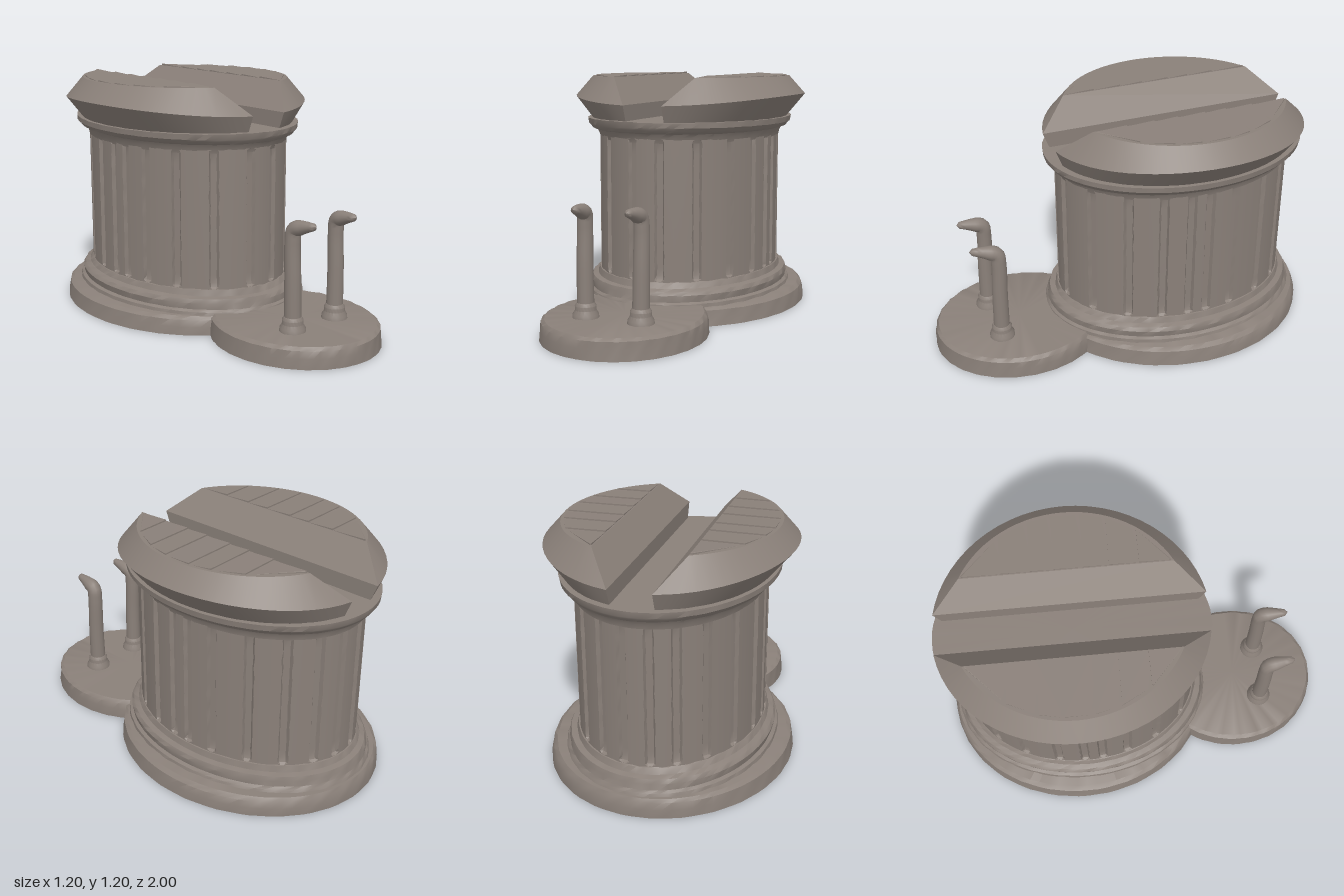
import * as THREE from 'three';
import { toCreasedNormals } from 'three/addons/utils/BufferGeometryUtils.js';
import { ConvexGeometry } from 'three/addons/geometries/ConvexGeometry.js';

const stone = new THREE.MeshStandardMaterial({ color: 0x8a8079 });
stone.name = 'weathered stone';

const V = (x, y, z) => new THREE.Vector3(x, y, z);
const CZ = -0.29; // centre of the oval building

function add(parent, geometry, name, crease = 0.6) {
  const mesh = new THREE.Mesh(toCreasedNormals(geometry, crease), stone);
  mesh.name = name;
  parent.add(mesh);
  return mesh;
}

// Small repeatable chip noise in -1..1
const chip = (i, j) => Math.sin(i * 12.9 + j * 7.31) * Math.cos(i * 3.7 - j * 5.13);

const plainColumns = Array.from({ length: 80 }, (_, i) => ({ a: (i / 80) * Math.PI * 2, half: 0, depth: 0 }));

// Stacks elliptical rings; each row is [rx, y, rz, groove strength]
function loft(rows, cz, columns = plainColumns, rough = 0) {
  const pos = [], index = [], n = columns.length;
  rows.forEach(([rx, y, rz, groove = 0], i) => columns.forEach((c, j) => {
    const a = c.a + c.half * (groove ? 1 + 0.15 * chip(i, j) : 0.5);
    const inset = c.depth * groove;
    const r = rx > 0 ? rough * chip(i, j) : 0;
    pos.push((rx - inset + r) * Math.sin(a), y + (y > 0 ? r : 0), cz + (rz - inset + r) * Math.cos(a));
  }));
  for (let i = 0; i < rows.length - 1; i++) {
    for (let j = 0; j < n; j++) {
      const k = (j + 1) % n, p = i * n, q = p + n;
      index.push(p + j, p + k, q + k, p + j, q + k, q + j);
    }
  }
  const g = new THREE.BufferGeometry();
  g.setAttribute('position', new THREE.Float32BufferAttribute(pos, 3));
  g.setIndex(index);
  return g;
}

// Columns around the drum: four per flute, with plain ones between
function fluteColumns() {
  const side = [9, 31.5, 52, 69, 82, 91, 104, 122, 140, 157, 172];
  const all = [...side, ...side.map((d) => 360 - d).reverse()].map((d) => (d * Math.PI) / 180);
  const columns = [];
  all.forEach((a, i) => {
    const half = 0.024 / Math.hypot(0.45 * Math.cos(a), 0.61 * Math.sin(a));
    [[-1, 0], [-0.65, 1], [0.65, 1], [1, 0]].forEach(([s, d]) =>
      columns.push({ a, half: s * half, depth: d * 0.018 }));
    const next = i + 1 < all.length ? all[i + 1] : all[0] + Math.PI * 2;
    const from = a + 0.055, to = next - 0.055;
    for (let k = 0; k < 4; k++) columns.push({ a: from + ((to - from) * k) / 3, half: 0, depth: 0 });
  });
  return columns;
}

// Half of the split roof on the +x side
function roofHalf(mirror) {
  const half = new THREE.Group();
  const topX = (z) => 0.51 * Math.sqrt(Math.max(0, 1 - ((z - CZ) / 0.55) ** 2));
  const arc = (rx, rz, xMin, y) => {
    const a0 = Math.asin(xMin / rx), pts = [];
    for (let i = 0; i <= 28; i++) {
      const a = a0 + ((Math.PI - 2 * a0) * i) / 28;
      pts.push(V(mirror * rx * Math.sin(a), y(a), CZ + rz * Math.cos(a)));
    }
    return pts;
  };
  add(half, new ConvexGeometry([
    ...arc(0.49, 0.63, 0.1, () => 0.975),
    ...arc(0.597, 0.66, 0.1, (a) => 1.06 + 0.042 * Math.sin(a) ** 2),
    ...arc(0.515, 0.555, 0.215, () => 1.192),
  ]), 'roofBlock', 0.35);

  // Rough-hewn facets along the flat top
  const cuts = [-0.78, -0.6, -0.46, -0.35, -0.21, -0.09, 0.05, 0.2];
  for (let i = 0; i < cuts.length - 1; i++) {
    const pts = [];
    [cuts[i], cuts[i + 1]].forEach((z, e) => {
      const x1 = Math.max(0.225, topX(z) - 0.01);
      [[0.22, 0], [x1, 0.002]].forEach(([x, drop]) => {
        pts.push(V(mirror * x, 1.185, z), V(mirror * x, 1.2 - drop - (e ? 0.007 : 0), z));
      });
    });
    add(half, new ConvexGeometry(pts), 'roofFacet', 0.1);
  }
  return half;
}

// Hooked post: flared foot, shaft and tapering spout
function hookedPost(s) {
  const post = new THREE.Group();
  const foot = [[0, 0.09], [0.064, 0.09], [0.062, 0.115], [0.05, 0.135], [0.051, 0.155], [0.042, 0.17], [0, 0.175]];
  add(post, new THREE.LatheGeometry(foot.map(([r, y]) => new THREE.Vector2(r, y)), 20), 'postFoot')
    .position.set(s * 0.14, 0, 0.69);

  const path = new THREE.CatmullRomCurve3([
    V(s * 0.14, 0.15, 0.69), V(s * 0.142, 0.35, 0.688), V(s * 0.142, 0.53, 0.683),
    V(s * 0.14, 0.585, 0.69), V(s * 0.136, 0.604, 0.735), V(s * 0.13, 0.622, 0.82),
  ]);
  const segs = 40, sides = 14;
  const tube = new THREE.TubeGeometry(path, segs, 1, sides);
  const p = tube.attributes.position, v = V(0, 0, 0);
  for (let i = 0; i <= segs; i++) {
    const t = i / segs, c = path.getPointAt(t);
    let r = 0.041 - 0.005 * t;
    if (t > 0.82) r = THREE.MathUtils.lerp(0.037, 0.014, (t - 0.82) / 0.18);
    if (i === segs) r = 0.0005;
    for (let j = 0; j <= sides; j++) {
      const k = i * (sides + 1) + j;
      v.fromBufferAttribute(p, k).sub(c).multiplyScalar(r).add(c);
      p.setXYZ(k, v.x, v.y, v.z);
    }
  }
  add(post, tube, 'postHook', 0.9);
  return post;
}

export function createModel() {
  const model = new THREE.Group();
  model.name = 'stoneMonument';

  // Oval base and the rounded front platform
  add(model, loft([[0, 0, 0], [0.6, 0, 0.7], [0.596, 0.04, 0.697], [0.588, 0.075, 0.69],
    [0.565, 0.09, 0.68], [0, 0.095, 0]], -0.3, plainColumns, 0.003), 'base');
  add(model, loft([[0, 0, 0], [0.388, 0, 0.44], [0.386, 0.05, 0.437], [0.38, 0.085, 0.432],
    [0.363, 0.1, 0.418], [0, 0.1, 0]], 0.56, plainColumns, 0.003), 'frontPlatform');

  // Stepped footing below the drum
  add(model, loft([[0.52, 0.08, 0.685], [0.512, 0.105, 0.68], [0.497, 0.115, 0.668], [0.502, 0.145, 0.665],
    [0.492, 0.165, 0.655], [0.465, 0.172, 0.628], [0.455, 0.2, 0.615], [0.44, 0.205, 0.6]],
  -0.285, plainColumns, 0.003), 'footing');

  // Fluted drum
  const flutes = [[0.19, 0], [0.203, 0], [0.212, 0.7], [0.23, 1]];
  for (let y = 0.27; y < 0.86; y += 0.05) flutes.push([y, 1]);
  flutes.push([0.875, 1], [0.892, 0.7], [0.9, 0]);
  add(model, loft(flutes.map(([y, g]) => [0.45, y, 0.61, g]), -0.285, fluteColumns()), 'flutedDrum', 0.45);

  // Collar and flat floor of the roof channel
  add(model, loft([[0.449, 0.88, 0.609], [0.455, 0.905, 0.617], [0.468, 0.925, 0.63], [0.49, 0.932, 0.65],
    [0.5, 0.945, 0.66], [0.512, 0.955, 0.667], [0.515, 0.982, 0.67], [0, 0.982, 0]],
  CZ, plainColumns, 0.002), 'collar');

  for (const s of [1, -1]) {
    const roof = roofHalf(s);
    roof.name = s > 0 ? 'leftRoofHalf' : 'rightRoofHalf';
    const post = hookedPost(s);
    post.name = s > 0 ? 'leftPost' : 'rightPost';
    model.add(roof, post);
  }
  return model;
}
